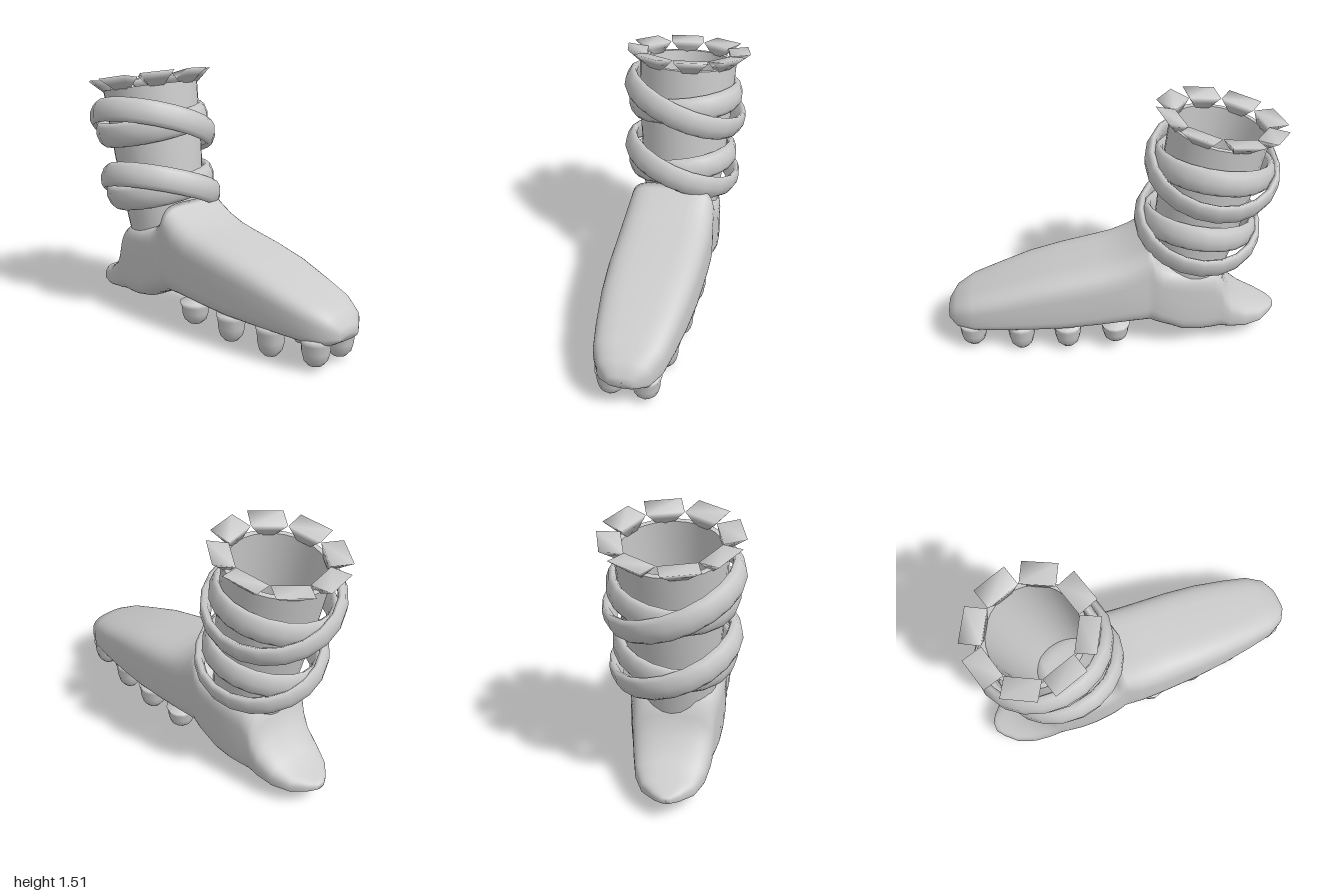
import * as THREE from 'three';
import { mergeVertices } from 'three/addons/utils/BufferGeometryUtils.js';

const mat = new THREE.MeshStandardMaterial({ color: 0xcccccc });
const V = (x, y) => new THREE.Vector2(x, y);

function add(parent, name, geometry) {
  const mesh = new THREE.Mesh(geometry, mat);
  mesh.name = name;
  parent.add(mesh);
  return mesh;
}

// Skin through rounded-square sections: [z, top y, bottom y, half width, roundness]
function footGeometry() {
  const sections = [
    [1.0, 0.221, 0.219, 0.001, 1], [1.0, 0.26, 0.185, 0.08, 0.8], [0.95, 0.33, 0.155, 0.15, 0.7],
    [0.85, 0.38, 0.15, 0.2, 0.6], [0.7, 0.43, 0.155, 0.228, 0.55], [0.5, 0.5, 0.16, 0.255, 0.52],
    [0.3, 0.55, 0.165, 0.27, 0.5], [0.1, 0.595, 0.18, 0.275, 0.5], [0, 0.62, 0.19, 0.277, 0.5],
    [-0.1, 0.665, 0.195, 0.275, 0.5], [-0.18, 0.715, 0.19, 0.265, 0.44], [-0.205, 0.735, 0.188, 0.262, 0.42],
    [-0.23, 0.67, 0.18, 0.265, 0.42], [-0.27, 0.61, 0.168, 0.268, 0.4], [-0.32, 0.585, 0.15, 0.268, 0.38],
    [-0.4, 0.565, 0.11, 0.263, 0.36], [-0.5, 0.557, 0.093, 0.252, 0.38], [-0.58, 0.55, 0.088, 0.235, 0.45],
    [-0.63, 0.53, 0.086, 0.225, 0.6], [-0.655, 0.44, 0.084, 0.22, 0.72], [-0.7, 0.33, 0.082, 0.212, 0.75],
    [-0.8, 0.235, 0.08, 0.19, 0.7], [-0.9, 0.19, 0.087, 0.145, 0.7], [-0.97, 0.17, 0.105, 0.075, 0.7],
    [-1.0, 0.155, 0.118, 0.03, 0.8], [-1.0, 0.136, 0.134, 0.001, 1],
  ];
  const n = 40, pos = [], index = [];
  const pw = (v, e) => Math.sign(v) * Math.pow(Math.abs(v), e);
  sections.forEach(([z, top, bottom, w, e], i) => {
    const mid = bottom + (top - bottom) * 0.45;
    for (let j = 0; j < n; j++) {
      const a = (j / n) * Math.PI * 2, s = Math.sin(a);
      const h = s > 0 ? top - mid : mid - bottom;
      pos.push(w * pw(Math.cos(a), s > 0 ? e : Math.max(e, 0.5)), mid + h * pw(s, s > 0 ? e : 0.5), z);
      if (i < sections.length - 1) {
        const p = i * n + j, q = i * n + ((j + 1) % n);
        index.push(p, p + n, q, p + n, q + n, q);
      }
    }
  });
  const g = new THREE.BufferGeometry();
  g.setAttribute('position', new THREE.Float32BufferAttribute(pos, 3));
  g.setIndex(index);
  g.computeVertexNormals();
  return g;
}

// Flared dovetail block: narrow on the rim, wide and leaning outward at the top
function flareGeometry() {
  const box = new THREE.BoxGeometry(1, 1, 1, 1, 2, 1);
  box.deleteAttribute('normal');
  box.deleteAttribute('uv');
  const g = mergeVertices(box);
  const p = g.attributes.position;
  for (let i = 0; i < p.count; i++) {
    const t = p.getY(i) + 0.5;
    const r = p.getZ(i) > 0 ? 0.285 + 0.08 * t : 0.255 - 0.01 * t;
    const lift = p.getZ(i) > 0 ? 0.08 : 0.065;
    p.setXYZ(i, p.getX(i) * (0.085 + 0.115 * t), -0.01 + lift * t, r);
  }
  g.computeVertexNormals();
  return g;
}

// Closed band of bulging section
function strapGeometry(r) {
  const section = [[-0.035, -0.055], [-0.015, -0.075], [0.005, -0.05], [0.015, 0], [0.005, 0.05],
    [-0.015, 0.075], [-0.035, 0.055], [-0.04, 0], [-0.035, -0.055]];
  return new THREE.LatheGeometry(section.map(([x, y]) => V(r + x, y)), 20);
}

export function createModel() {
  const model = new THREE.Group();
  model.name = 'studdedBoot';

  add(model, 'foot', footGeometry());

  // Studs in pairs under the sole, unit high: [z, bottom y, x]
  const studProfile = [V(0, 0), V(0.04, 0.04), V(0.066, 0.22), V(0.078, 0.5), V(0.082, 0.8), V(0.092, 1), V(0, 1.15)];
  const studGeo = new THREE.LatheGeometry(studProfile, 12);
  for (const [z, y, x] of [[0.86, 0.025, 0.1], [0.57, 0.005, 0.135], [0.29, 0.02, 0.16], [0, 0.05, 0.17]])
    for (const side of [-1, 1]) {
      const stud = add(model, 'stud', studGeo);
      stud.position.set(side * x, y, z);
      stud.scale.y = 0.185 - y;
    }

  // Leaning open shaft with an inner wall
  const shaft = new THREE.Group();
  shaft.name = 'shaft';
  shaft.position.set(0.008, 0.5, -0.44);
  shaft.rotation.x = -0.17;
  model.add(shaft);
  const outer = add(shaft, 'shaftOuterWall', new THREE.LatheGeometry(
    [V(0.215, -0.05), V(0.235, 0.15), V(0.265, 0.5), V(0.285, 0.9)], 28));
  const rim = add(shaft, 'shaftRim', new THREE.LatheGeometry([V(0.285, 0.9), V(0.255, 0.9)], 28));
  const inner = add(shaft, 'shaftInnerWall', new THREE.LatheGeometry(
    [V(0.255, 0.9), V(0.24, 0.5), V(0.21, 0.15), V(0.19, -0.05)], 28));
  for (const m of [outer, rim, inner]) m.scale.x = 1.03;

  // Flared blocks around the rim
  const flareGeo = flareGeometry();
  for (let i = 0; i < 8; i++) {
    const flare = add(shaft, 'rimFlare', flareGeo);
    flare.position.y = 0.9;
    flare.rotation.y = 0.23 + (i * Math.PI) / 4;
  }

  // Two pairs of crossing straps: [name, radius, y, z, sideways tilt]
  for (const [name, r, y, z, tilt] of [
    ['upperOuterStrap', 0.378, 1.15, -0.565, -0.36], ['upperInnerStrap', 0.336, 1.16, -0.57, 0.14],
    ['lowerOuterStrap', 0.362, 0.775, -0.495, -0.35], ['lowerInnerStrap', 0.325, 0.79, -0.5, 0.16],
  ]) {
    const strap = add(model, name, strapGeometry(r));
    strap.position.set(0, y, z);
    strap.rotation.set(-0.14, 0, tilt);
  }
  return model;
}
